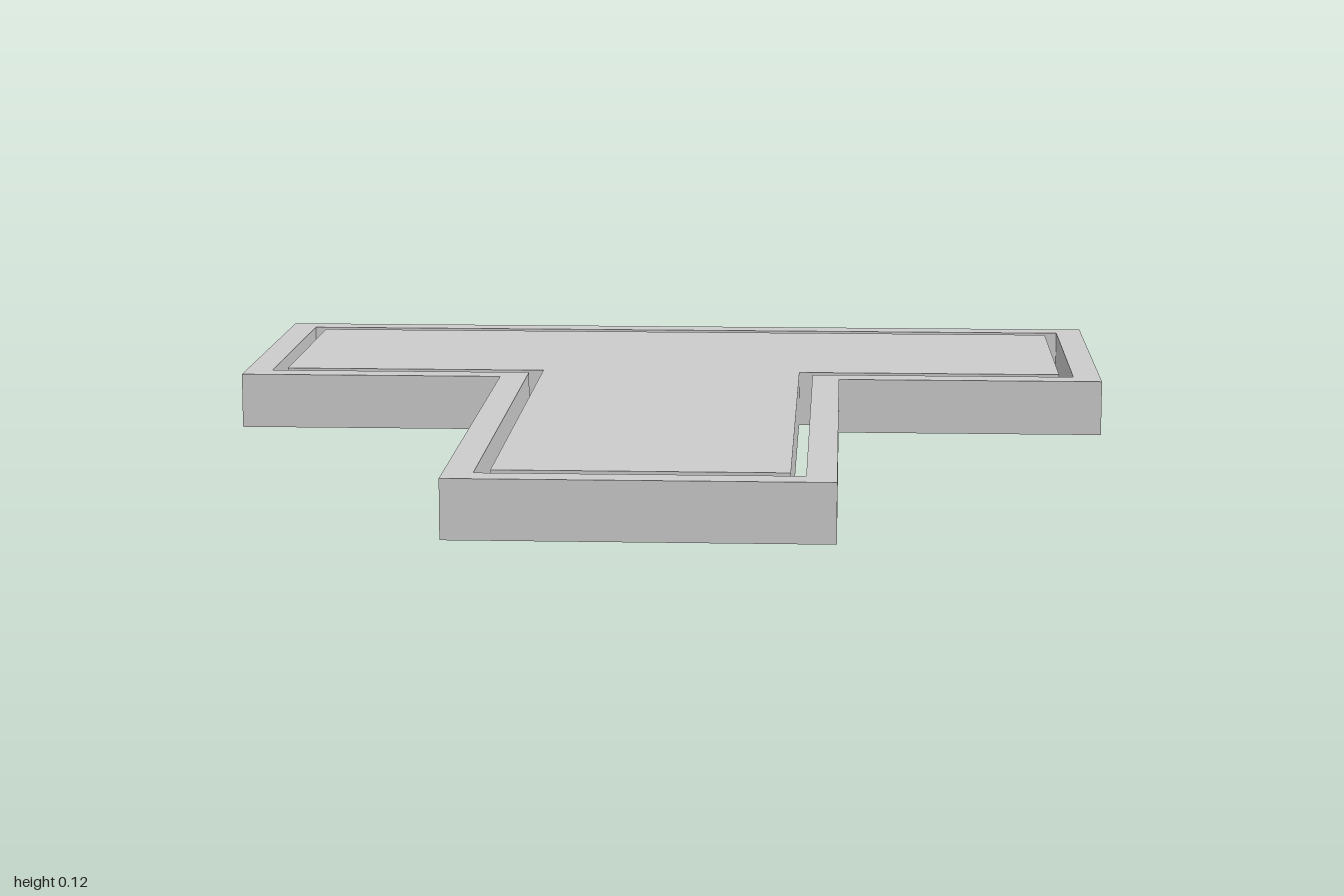
import * as THREE from 'three';

const HEIGHT = 0.125;

// T outline in plan (shape y = -z), shrunk evenly by the given inset
function tOutline(inset) {
  const bar = 1 - inset, stem = 0.394 - inset, top = 1 - inset;
  const underside = 0.213 + inset, foot = -1 + inset;
  return [
    [-stem, foot], [stem, foot], [stem, underside], [bar, underside],
    [bar, top], [-bar, top], [-bar, underside], [-stem, underside],
  ].map(([x, y]) => new THREE.Vector2(x, y));
}

// Upright slab standing on the ground
function slab(name, shape) {
  const geometry = new THREE.ExtrudeGeometry(shape, { depth: HEIGHT, bevelEnabled: false });
  geometry.rotateX(-Math.PI / 2);
  const mesh = new THREE.Mesh(geometry, new THREE.MeshStandardMaterial({ color: 0xcccccc }));
  mesh.name = name;
  return mesh;
}

export function createModel() {
  const group = new THREE.Group();
  group.name = 'borderedTPlate';

  // Outer border with a T-shaped opening
  const border = new THREE.Shape(tOutline(0));
  border.holes.push(new THREE.Path(tOutline(0.062)));
  group.add(slab('borderFrame', border));

  // Inner plate, separated from the border by a narrow through gap
  group.add(slab('innerPlate', new THREE.Shape(tOutline(0.093))));

  return group;
}
